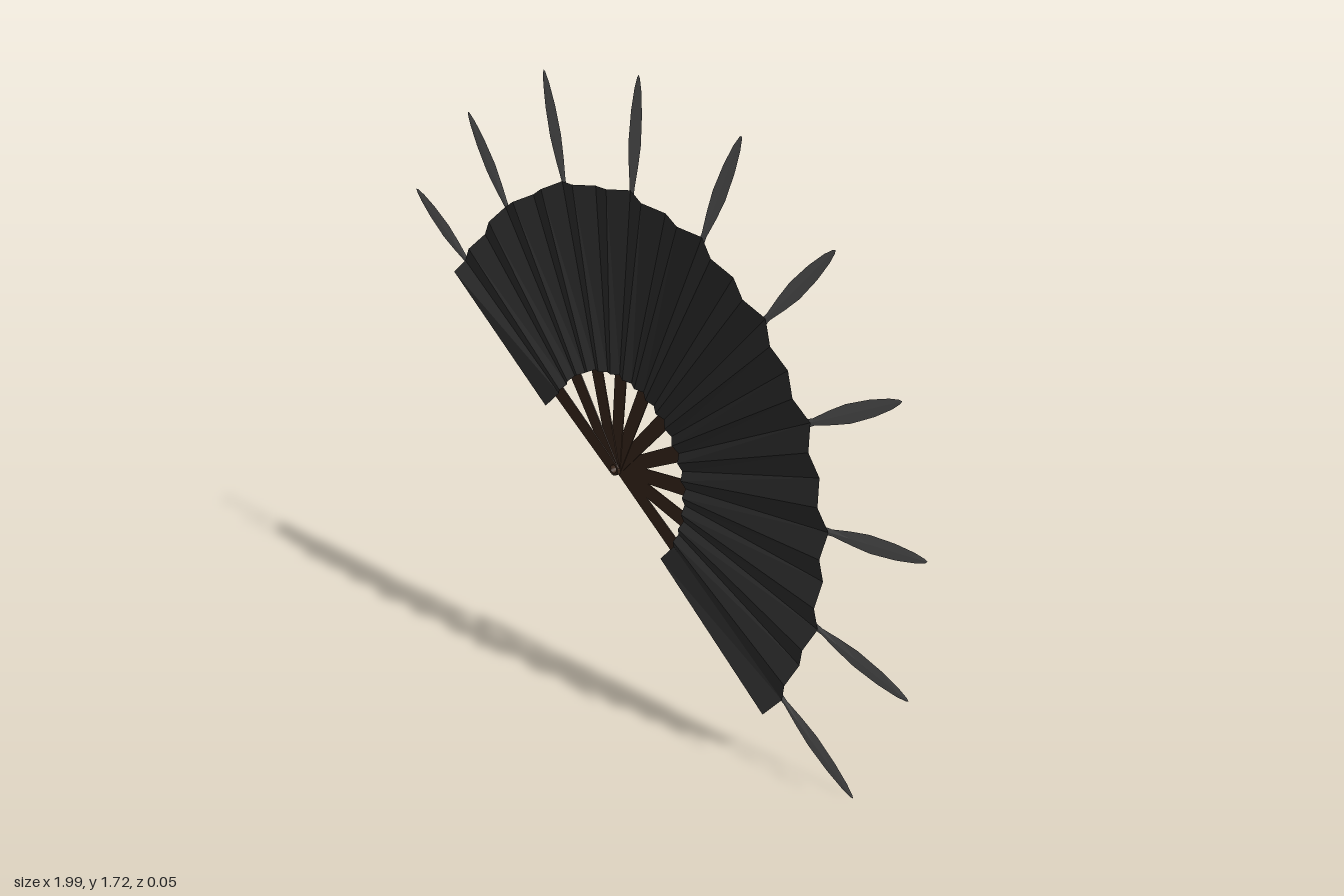
import * as THREE from 'three';

const RIBS = 10;
const PIVOT = [-0.1, 0.636];
const ribAngle = (i) => THREE.MathUtils.degToRad(145 - 20 * i);
const ribZ = (i) => -0.006 - 0.0022 * i; // ribs are stacked one behind the other

const make = (name, color, side = THREE.FrontSide) => {
  const m = new THREE.MeshStandardMaterial({ color, side, flatShading: true });
  m.name = name;
  return m;
};

function meshFrom(points, index, material, name) {
  let g = new THREE.BufferGeometry();
  g.setAttribute('position', new THREE.Float32BufferAttribute(points, 3));
  g.setIndex(index);
  g = g.toNonIndexed();
  g.computeVertexNormals();
  const mesh = new THREE.Mesh(g, material);
  mesh.name = name;
  return mesh;
}

// Tapered wooden stick with a rounded, drilled foot at the pivot
function ribGeometry() {
  const s = new THREE.Shape();
  s.moveTo(0.019, 0);
  s.lineTo(0.027, 0.55);
  s.lineTo(-0.027, 0.55);
  s.lineTo(-0.019, 0);
  s.absarc(0, 0, 0.019, Math.PI, Math.PI * 2, false);
  const hole = new THREE.Path();
  hole.absarc(0, 0, 0.012, 0, Math.PI * 2, true);
  s.holes.push(hole);
  return new THREE.ExtrudeGeometry(s, { depth: 0.003, bevelEnabled: false, curveSegments: 8 });
}

// Metal blade lofted from rhombic sections: [radius, half width, half thickness]
function bladeMesh(material) {
  const stations = [
    [0.54, 0, 0], [0.54, 0.029, 0.0025], [0.595, 0.033, 0.003], [0.615, 0.023, 0.003],
    [0.68, 0.015, 0.0025], [0.80, 0.009, 0.0025], [0.86, 0.018, 0.003],
    [0.92, 0.024, 0.003], [1.0, 0.021, 0.0025], [1.06, 0.013, 0.002],
    [1.09, 0.005, 0.001], [1.097, 0, 0],
  ];
  const points = [], index = [];
  stations.forEach(([r, w, t], i) => {
    points.push(w, r, 0, 0, r, t, -w, r, 0, 0, r, -t);
    if (i === 0) return;
    for (let k = 0; k < 4; k++) {
      const a = (i - 1) * 4 + k, b = (i - 1) * 4 + (k + 1) % 4;
      index.push(a, a + 4, b, a + 4, b + 4, b);
    }
  });
  return meshFrom(points, index, material, 'blade');
}

// Pleated leaf: straight chords between ribs, folded four times in each
function leafMesh(material) {
  const nodes = [{ inner: [-0.275, 0.114], outer: [-0.681, 0.424], z: ribZ(0) }];
  for (let i = 0; i < RIBS; i++) {
    const c = Math.cos(ribAngle(i)), s = Math.sin(ribAngle(i));
    const R = 0.8 - 0.0012 * i;
    nodes.push({ inner: [0.28 * c, 0.28 * s], outer: [R * c, R * s], z: ribZ(i) });
  }
  nodes.push({ inner: [0.19, -0.206], outer: [0.601, -0.506], z: ribZ(RIBS - 1) });

  const points = [], index = [];
  const mix = THREE.MathUtils.lerp;
  const addRow = (a, b, t, fold) => {
    const z = mix(a.z, b.z, t) + 0.005;
    for (const [edge, depth] of [['inner', 0.012], ['outer', 0.023]]) {
      points.push(mix(a[edge][0], b[edge][0], t), mix(a[edge][1], b[edge][1], t), z + fold * depth);
    }
  };
  for (let n = 0; n < nodes.length - 1; n++) {
    const steps = n === 0 || n === nodes.length - 2 ? 1 : 4;
    for (let k = 0; k < steps; k++) {
      const fold = n === 0 ? 1 : k % 2;
      addRow(nodes[n], nodes[n + 1], k / steps, fold);
    }
  }
  addRow(nodes[RIBS], nodes[RIBS + 1], 1, 1);
  for (let a = 0; a + 3 < points.length / 3; a += 2) {
    index.push(a, a + 2, a + 1, a + 2, a + 3, a + 1);
  }
  return meshFrom(points, index, material, 'pleatedLeaf');
}

export function createModel() {
  const wood = make('dark brown wood', 0x402c20);
  const steel = make('grey steel', 0x6a6a6a);
  const cloth = make('black cloth', 0x343434, THREE.DoubleSide);

  const fan = new THREE.Group();
  fan.name = 'bladedFan';
  fan.position.set(PIVOT[0], PIVOT[1], 0);

  const stick = ribGeometry();
  for (let i = 0; i < RIBS; i++) {
    const spoke = new THREE.Group();
    spoke.name = `spoke${i + 1}`;
    const rib = new THREE.Mesh(stick, wood);
    rib.name = 'rib';
    rib.position.z = -0.0015;
    spoke.add(rib, bladeMesh(steel));
    spoke.position.z = ribZ(i);
    spoke.rotation.z = ribAngle(i) - Math.PI / 2;
    fan.add(spoke);
  }
  fan.add(leafMesh(cloth));

  const model = new THREE.Group();
  model.name = 'foldingFan';
  model.add(fan);
  return model;
}
